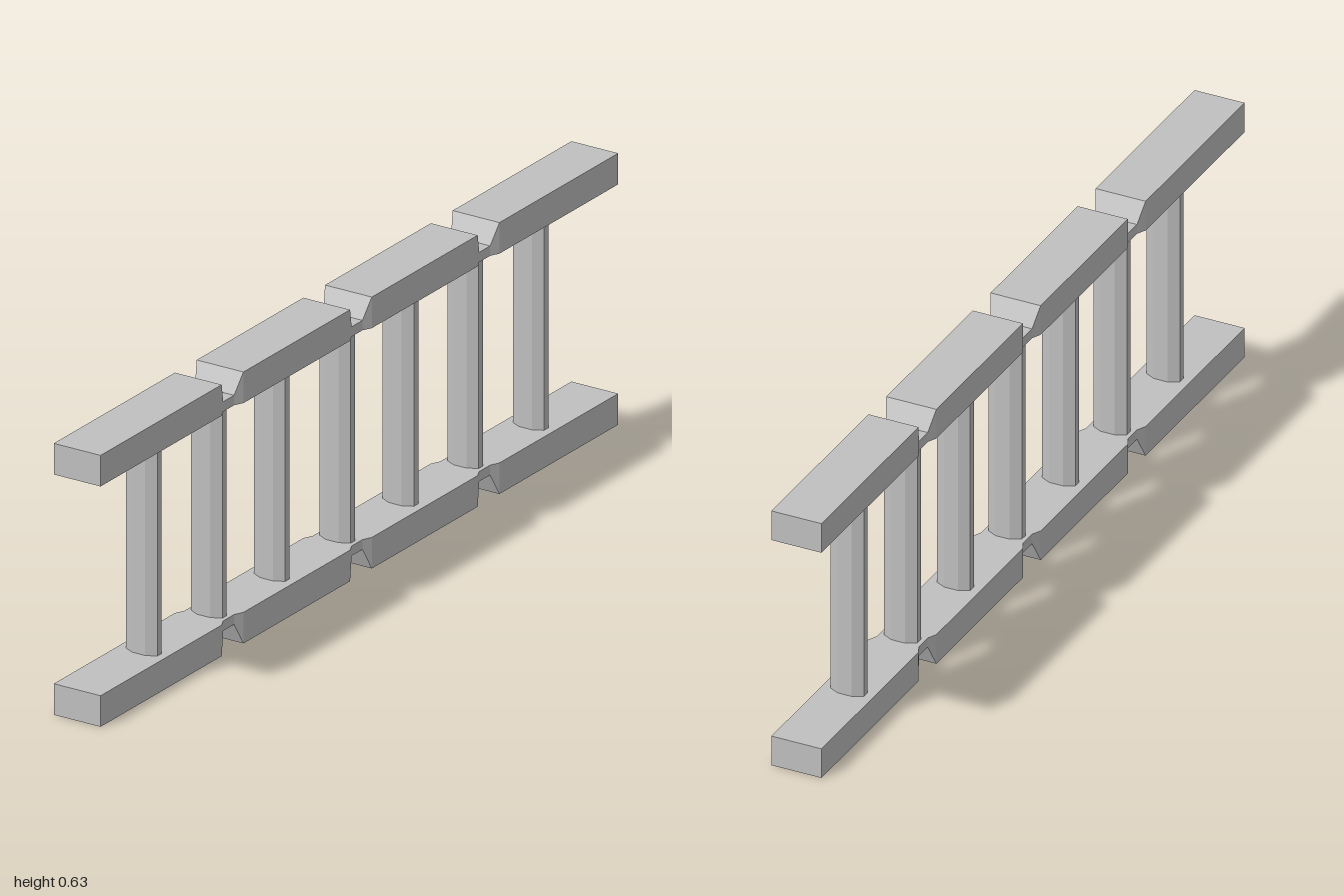
import * as THREE from 'three';

const HEIGHT = 0.629, RAIL_H = 0.072, HALF_W = 0.06;
const NOTCHES = [-0.499, -0.006, 0.49];
const RUNGS = [-0.752, -0.499, -0.249, -0.005, 0.248, 0.491, 0.742];

function faceted(geometry) {
  const g = geometry.toNonIndexed();
  g.computeVertexNormals();
  return g;
}

// Rail along z: stations are [z, half width, outer height above the inner face]
function railGeometry(side) {
  const stations = [[-1, HALF_W, RAIL_H]];
  for (const z of NOTCHES) {
    stations.push([z - 0.042, HALF_W, RAIL_H], [z - 0.021, 0.05, 0.023],
      [z + 0.021, 0.05, 0.023], [z + 0.042, HALF_W, RAIL_H]);
  }
  stations.push([1, HALF_W, RAIL_H]);
  const n = stations.length - 1;
  const geo = new THREE.BoxGeometry(2, 2, 2, 1, 1, n);
  const p = geo.attributes.position;
  for (let i = 0; i < p.count; i++) {
    const [z, w, h] = stations[Math.round((p.getZ(i) + 1) / 2 * n)];
    const outer = p.getY(i) * side > 0;
    p.setXYZ(i, p.getX(i) * w, outer ? side * h : 0, z);
  }
  return faceted(geo);
}

export function createModel() {
  const model = new THREE.Group();
  model.name = 'ladder';
  const grey = new THREE.MeshStandardMaterial({ color: 0xc0c0c0 });
  grey.name = 'grey';

  // Two rails with their notches facing outward
  for (const [name, side, y] of [['bottomRail', -1, RAIL_H], ['topRail', 1, HEIGHT - RAIL_H]]) {
    const rail = new THREE.Mesh(railGeometry(side), grey);
    rail.name = name;
    rail.position.y = y;
    model.add(rail);
  }

  // Flattened eight-sided rungs
  const length = HEIGHT - 2 * RAIL_H;
  const rungGeo = new THREE.CylinderGeometry(1, 1, length, 8);
  rungGeo.rotateY(Math.PI / 8);
  rungGeo.scale(0.0433, 1, 0.0222);
  const rungFaces = faceted(rungGeo);
  RUNGS.forEach((z, i) => {
    const rung = new THREE.Mesh(rungFaces, grey);
    rung.name = `rung${i + 1}`;
    rung.position.set(0, HEIGHT / 2, z);
    model.add(rung);
  });
  return model;
}
